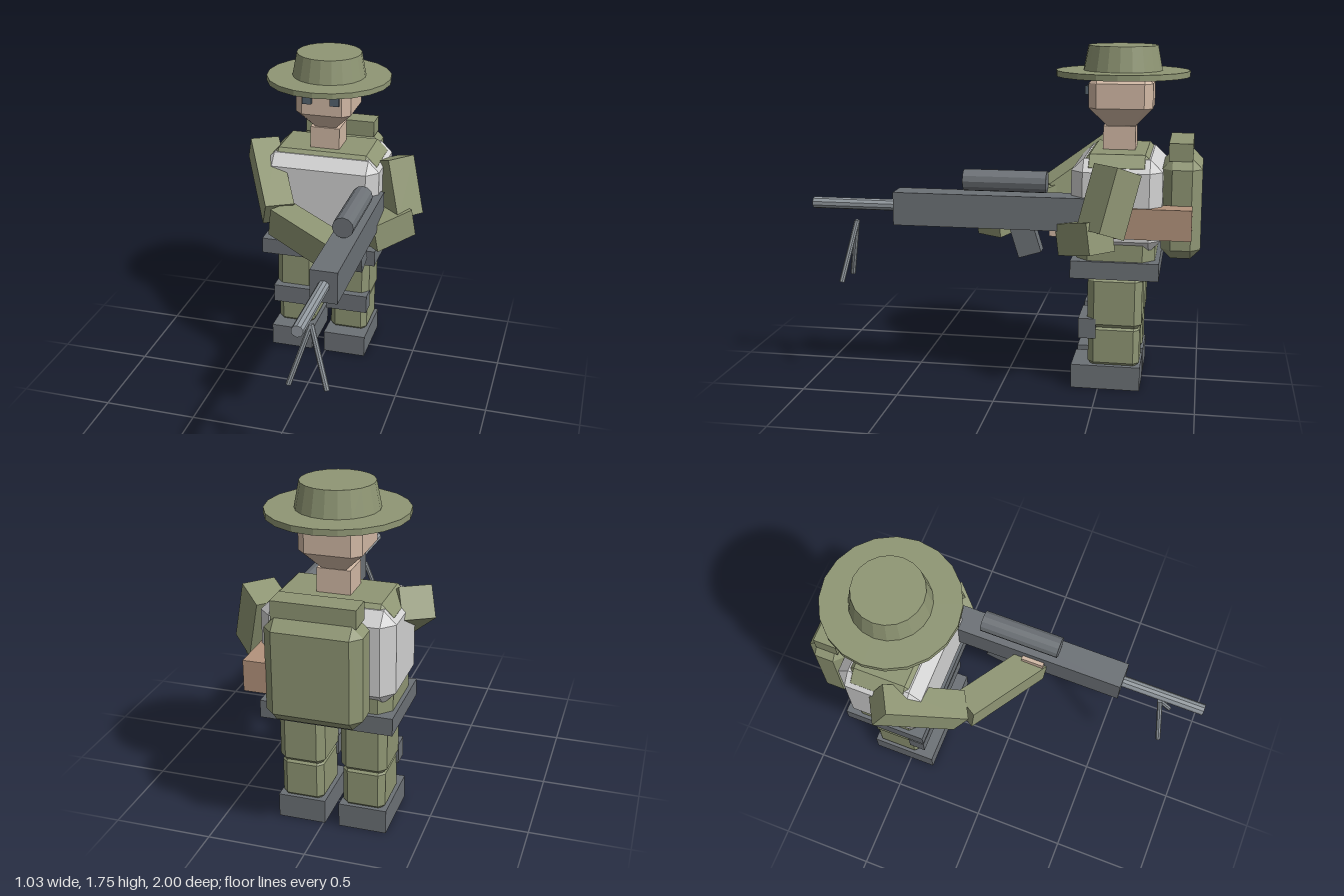
import * as THREE from 'three';
import { ConvexGeometry } from 'three/addons/geometries/ConvexGeometry.js';

const V = (x, y, z) => new THREE.Vector3(x, y, z);

export function createModel() {
  const root = new THREE.Group();
  root.name = 'toySoldier';

  const mat = (name, color) => {
    const m = new THREE.MeshStandardMaterial({ color, flatShading: true });
    m.name = name;
    return m;
  };
  const green = mat('olive cloth', 0x8f9674);
  const skin = mat('skin', 0xd2b9a5);
  const white = mat('vest grey', 0xd2d2d2);
  const slate = mat('dark slate', 0x6c7176);
  const steel = mat('steel', 0x92999f);
  const wood = mat('wood', 0xb3937c);
  const eyeMat = mat('eye blue grey', 0x56646f);

  const add = (name, geo, material, x = 0, y = 0, z = 0) => {
    const mesh = new THREE.Mesh(geo, material);
    mesh.name = name;
    mesh.position.set(x, y, z);
    root.add(mesh);
    return mesh;
  };

  // Box given by its minimum and maximum on each axis
  const box = (name, m, [x0, x1], [y0, y1], [z0, z1]) =>
    add(name, new THREE.BoxGeometry(x1 - x0, y1 - y0, z1 - z0), m,
      (x0 + x1) / 2, (y0 + y1) / 2, (z0 + z1) / 2);

  // Box with every edge and corner cut by c
  const chamferBox = (name, m, [x0, x1], [y0, y1], [z0, z1], c) => {
    const hx = (x1 - x0) / 2, hy = (y1 - y0) / 2, hz = (z1 - z0) / 2;
    const pts = [];
    for (const i of [-1, 1]) for (const j of [-1, 1]) for (const k of [-1, 1]) {
      pts.push(V(i * hx, j * (hy - c), k * (hz - c)));
      pts.push(V(i * (hx - c), j * hy, k * (hz - c)));
      pts.push(V(i * (hx - c), j * (hy - c), k * hz));
    }
    return add(name, new ConvexGeometry(pts), m, (x0 + x1) / 2, (y0 + y1) / 2, (z0 + z1) / 2);
  };

  // Square limb running from a to b
  const limb = (name, a, b, w) => {
    const mid = a.clone().add(b).multiplyScalar(0.5);
    const mesh = add(name, new THREE.BoxGeometry(w, w, a.distanceTo(b)), green, mid.x, mid.y, mid.z);
    mesh.lookAt(b);
    return mesh;
  };

  // Round rod running from a to b
  const rod = (name, m, a, b, r, sides) => {
    const mid = a.clone().add(b).multiplyScalar(0.5);
    const mesh = add(name, new THREE.CylinderGeometry(r, r, a.distanceTo(b), sides), m, mid.x, mid.y, mid.z);
    mesh.quaternion.setFromUnitVectors(V(0, 1, 0), b.clone().sub(a).normalize());
    return mesh;
  };

  const cx = -0.047, cz = -0.578;

  // Legs
  for (const [side, x] of [['right', -0.203], ['left', 0.113]]) {
    box(side + 'Boot', slate, [x - 0.122, x + 0.122], [0, 0.125], [-0.715, -0.36]);
    chamferBox(side + 'Shin', green, [x - 0.108, x + 0.108], [0.11, 0.345], [-0.708, -0.443], 0.03);
    chamferBox(side + 'Thigh', green, [x - 0.117, x + 0.117], [0.31, 0.61], [-0.717, -0.438], 0.036);
    box(side + 'KneePad', slate, [x - 0.12, x + 0.12], [0.27, 0.375], [-0.485, -0.395]);
  }

  // Torso
  box('belt', slate, [cx - 0.33, cx + 0.33], [0.6, 0.69], [-0.8, -0.355]);
  chamferBox('shirt', green, [cx - 0.31, cx + 0.31], [0.62, 1.225], [cz - 0.198, cz + 0.198], 0.06);
  chamferBox('vest', white, [cx - 0.33, cx + 0.33], [0.735, 1.205], [cz - 0.228, cz + 0.228], 0.062);

  // Backpack with a flat roll on top
  chamferBox('backpack', green, [cx - 0.234, cx + 0.234], [0.69, 1.2], [-1, -0.8], 0.05);
  box('bedroll', green, [-0.25, 0.155], [1.19, 1.28], [-0.95, -0.83]);

  // Head: stacked octagons narrowing to the chin
  box('neck', skin, [-0.13, 0.036], [1.21, 1.345], [-0.655, -0.49]);
  const headPts = [];
  for (const [y, hx, hz, c] of [[1.335, 0.05, 0.065, 0], [1.44, 0.154, 0.163, 0.042],
    [1.565, 0.154, 0.163, 0.042], [1.61, 0.112, 0.121, 0]]) {
    for (const i of [-1, 1]) for (const k of [-1, 1]) {
      headPts.push(V(i * hx, y, k * (hz - c)));
      if (c) headPts.push(V(i * (hx - c), y, k * hz));
    }
  }
  add('head', new ConvexGeometry(headPts), skin, cx, 0, cz);
  for (const [side, x] of [['right', -0.125], ['left', 0.03]]) {
    box(side + 'Eye', eyeMat, [x - 0.025, x + 0.025], [1.505, 1.55], [-0.42, -0.395]);
  }

  // Hat
  add('hatBrim', new THREE.CylinderGeometry(0.343, 0.343, 0.03, 20), green, cx, 1.61, cz);
  add('hatCrown', new THREE.CylinderGeometry(0.178, 0.203, 0.13, 20), green, cx, 1.687, cz);

  // Right arm reaching across to the fore-end
  const rElbow = V(-0.21, 0.92, -0.17);
  limb('rightUpperArm', V(-0.42, 1.18, -0.54), V(-0.225, 0.935, -0.19), 0.16);
  limb('rightForearm', rElbow, V(0.2, 0.86, 0.08), 0.155);
  box('rightHand', skin, [0.145, 0.265], [0.855, 0.975], [0.015, 0.135]);

  // Left arm bent to the grip
  limb('leftUpperArm', V(0.32, 1.17, -0.59), V(0.4, 0.86, -0.515), 0.17);
  limb('leftForearm', V(0.42, 0.85, -0.52), V(0.245, 0.8, -0.345), 0.16);
  box('leftHand', skin, [0.18, 0.29], [0.815, 0.925], [-0.35, -0.25]);

  // Long gun
  const gx = 0.235;
  box('gunBody', slate, [gx - 0.07, gx + 0.07], [0.845, 1.015], [-0.46, 0.555]);
  box('gunStock', wood, [gx - 0.06, gx + 0.06], [0.815, 0.97], [-0.955, -0.44]);
  rod('gunBarrel', steel, V(gx, 0.935, 0.54), V(gx, 0.935, 1), 0.03, 10);
  rod('gunScope', slate, V(gx, 1.08, -0.23), V(gx, 1.08, 0.195), 0.056, 12);
  const grip = add('gunGrip', new THREE.BoxGeometry(0.08, 0.2, 0.12), slate, gx, 0.805, -0.12);
  grip.rotation.x = 0.3;
  for (const [side, s] of [['right', -1], ['left', 1]]) {
    rod(side + 'BipodLeg', steel, V(gx, 0.845, 0.77), V(gx + s * 0.095, 0.535, 0.832), 0.014, 8);
  }

  return root;
}
